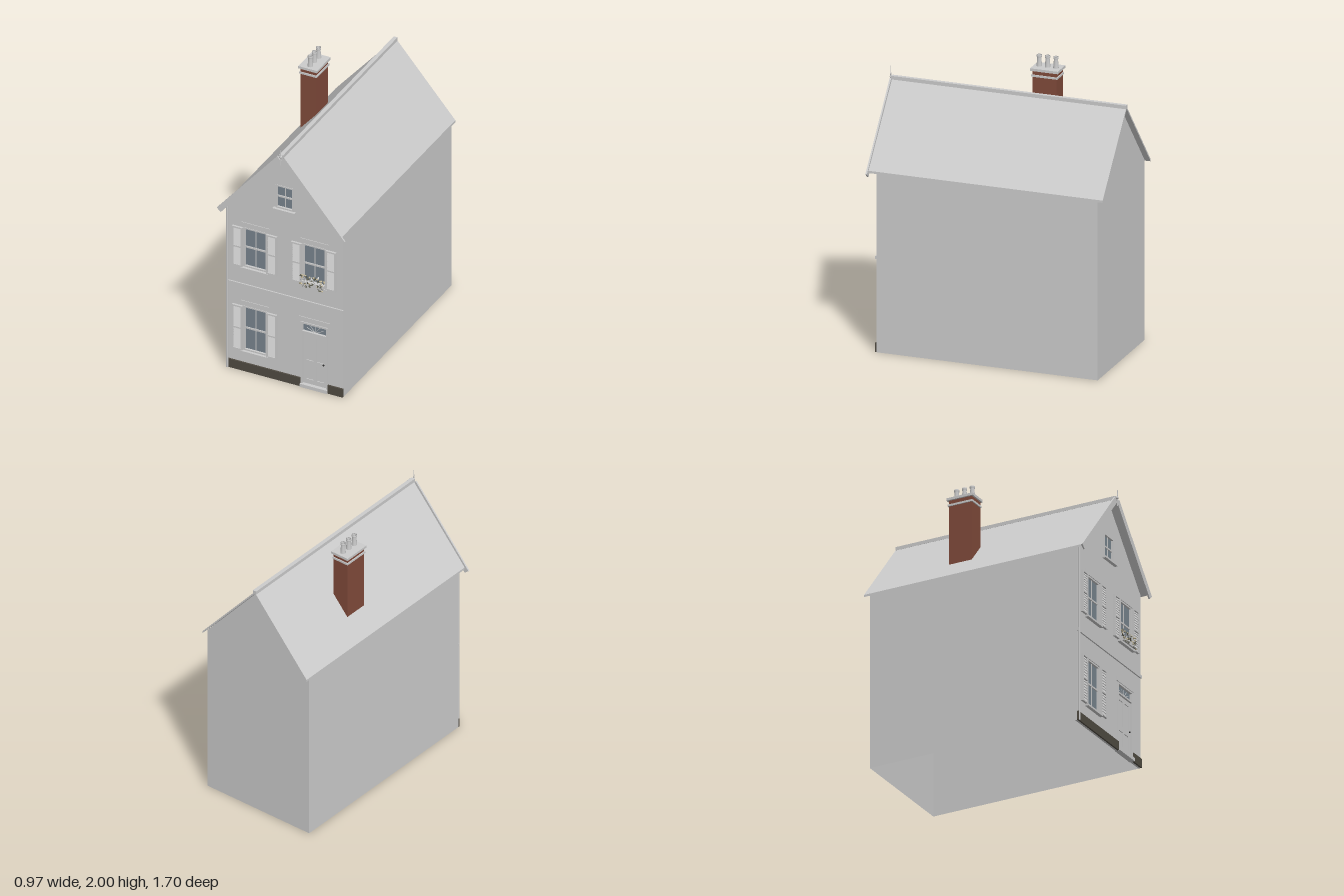
import * as THREE from 'three';

const mat = (color) => new THREE.MeshStandardMaterial({ color, side: THREE.DoubleSide });
const GREY = mat(0xcccccc), GLASS = mat(0x78848e), BRICK = mat(0x804a3a);
const PLINTH = mat(0x504b42), DARK = mat(0x2b2b2b), LEAF = mat(0x5a5a4c), PETAL = mat(0xc9bd9c);
const WALL = 0.78; // front face of the facade

function add(parent, name, geo, material = GREY) {
  const m = new THREE.Mesh(geo, material);
  m.name = name;
  parent.add(m);
  return m;
}
// Box given by its extents
function box(parent, name, x0, x1, y0, y1, z0, z1, material) {
  const m = add(parent, name, new THREE.BoxGeometry(x1 - x0, y1 - y0, z1 - z0), material);
  m.position.set((x0 + x1) / 2, (y0 + y1) / 2, (z0 + z1) / 2);
  return m;
}
const rect = ([x0, x1, y0, y1], Type = THREE.Shape) =>
  new Type([[x0, y0], [x1, y0], [x1, y1], [x0, y1]].map((p) => new THREE.Vector2(...p)));
const poly = (pts) => new THREE.Shape(pts.map((p) => new THREE.Vector2(...p)));
// Flat shape with rectangular openings, extruded from z0 to z1
function plate(parent, name, shape, holes, z0, z1, material) {
  holes.forEach((h) => shape.holes.push(rect(h, THREE.Path)));
  const geo = new THREE.ExtrudeGeometry(shape, { depth: z1 - z0, bevelEnabled: false });
  return add(parent, name, geo.translate(0, 0, z0), material);
}
function bar(parent, name, a, b, r, material) {
  const va = new THREE.Vector3(...a), vb = new THREE.Vector3(...b);
  const m = add(parent, name, new THREE.CylinderGeometry(r, r, va.distanceTo(vb), 6), material);
  m.position.copy(va).lerp(vb, 0.5);
  m.quaternion.setFromUnitVectors(new THREE.Vector3(0, 1, 0), vb.sub(va).normalize());
}

// Sash window: frame, 2 x 2 panes, glazing bars, sill and lintel
function sashWindow(parent, [x0, x1, y0, y1], lintel) {
  const g = new THREE.Group();
  g.name = 'window';
  parent.add(g);
  const f = 0.01, cx = (x0 + x1) / 2, cy = (y0 + y1) / 2;
  plate(g, 'windowFrame', rect([x0, x1, y0, y1]), [[x0 + f, x1 - f, y0 + f, y1 - f]], WALL - 0.022, WALL + 0.004);
  box(g, 'glass', x0 + f, x1 - f, y0 + f, y1 - f, WALL - 0.016, WALL - 0.012, GLASS);
  box(g, 'meetingRail', x0 + f, x1 - f, cy - 0.006, cy + 0.006, WALL - 0.02, WALL - 0.004);
  box(g, 'glazingBar', cx - 0.003, cx + 0.003, y0 + f, y1 - f, WALL - 0.02, WALL - 0.006);
  box(g, 'sill', x0 - 0.016, x1 + 0.016, y0 - 0.014, y0, WALL - 0.01, WALL + 0.024);
  if (lintel) box(g, 'lintel', x0 - 0.02, x1 + 0.02, y1 + 0.005, y1 + 0.04, WALL, WALL + 0.005);
}

// Louvred shutter
function shutter(parent, x0, x1, y0, y1) {
  const g = new THREE.Group();
  g.name = 'shutter';
  parent.add(g);
  const f = 0.011, n = 16, cy = (y0 + y1) / 2;
  const bays = [[y0 + f, cy - f / 2], [cy + f / 2, y1 - f]];
  plate(g, 'shutterFrame', rect([x0, x1, y0, y1]),
    bays.map(([a, b]) => [x0 + f, x1 - f, a, b]), WALL + 0.004, WALL + 0.02);
  for (const [a, b] of bays) {
    for (let i = 0; i < n / 2; i++) {
      const y = a + ((i + 0.5) * (b - a)) / (n / 2);
      const s = box(g, 'slat', x0 + f, x1 - f, y - 0.010, y + 0.010, WALL + 0.01, WALL + 0.013);
      s.rotation.x = -0.45;
    }
  }
}

function door(parent, [x0, x1, y0, y1]) {
  const g = new THREE.Group();
  g.name = 'door';
  parent.add(g);
  const f = 0.013, cx = (x0 + x1) / 2, fan = [x0 + f, x1 - f, 0.44, y1 - f];
  plate(g, 'doorFrame', rect([x0, x1, y0, y1]), [[x0 + f, x1 - f, 0.025, 0.428], fan], WALL - 0.02, WALL + 0.006);
  const panels = [];
  for (const [a, b] of [[x0 + 0.036, cx - 0.012], [cx + 0.012, x1 - 0.036]])
    for (const [c, d] of [[0.06, 0.17], [0.21, 0.395]]) panels.push([a, b, c, d]);
  plate(g, 'doorLeaf', rect([x0 + f, x1 - f, 0.025, 0.428]), panels, WALL - 0.018, WALL - 0.008);
  box(g, 'doorPanels', x0 + f, x1 - f, 0.025, 0.428, WALL - 0.02, WALL - 0.014);
  box(g, 'doorStep', x0, x1, 0, 0.025, WALL - 0.01, WALL + 0.02);
  box(g, 'doorLintel', x0 - 0.015, x1 + 0.015, y1 + 0.005, y1 + 0.04, WALL, WALL + 0.005);
  add(g, 'doorKnob', new THREE.SphereGeometry(0.006, 10, 8), DARK).position.set(0.29, 0.205, WALL);
  // Fanlight with radiating bars
  box(g, 'fanlightGlass', ...fan, WALL - 0.016, WALL - 0.012, GLASS);
  for (let i = 1; i < 6; i++) {
    const t = (Math.PI * i) / 6, z = WALL - 0.008;
    bar(g, 'fanlightBar', [cx, fan[2], z],
      [cx + Math.cos(t) * 0.07, fan[2] + Math.sin(t) * 0.052, z], 0.002);
  }
}

// Window box with leaves and blossoms
function flowerBox(parent) {
  const g = new THREE.Group();
  g.name = 'flowerBox';
  parent.add(g);
  box(g, 'planter', 0.14, 0.307, 0.822, 0.852, WALL + 0.004, WALL + 0.035);
  let seed = 7;
  const rnd = () => (seed = (seed * 16807) % 2147483647) / 2147483647;
  const leaf = new THREE.CircleGeometry(0.011, 5).scale(0.55, 1, 1);
  const blossom = new THREE.IcosahedronGeometry(0.007, 0);
  for (let i = 0; i < 80; i++) {
    const flower = i % 4 === 0;
    const m = add(g, flower ? 'blossom' : 'leaf', flower ? blossom : leaf, flower ? PETAL : i % 3 ? LEAF : GREY);
    const y = 0.815 + 0.085 * Math.pow(rnd(), 0.8);
    m.position.set(0.13 + 0.185 * rnd(), y, WALL + 0.012 + 0.032 * (y < 0.855 ? 0.85 + 0.2 * rnd() : rnd()));
    m.rotation.set(rnd() * 2 - 1, rnd() * 2 - 1, rnd() * 6);
  }
}

export function createModel() {
  const house = new THREE.Group();
  house.name = 'townHouse';
  const gable = () => poly([[-0.44, 0], [0.44, 0], [0.44, 1.28], [0, 1.79], [-0.44, 1.28]]);
  const doorway = [0.12, 0.325, 0, 0.51];
  const windows = [[-0.312, -0.136, 0.162, 0.51], [-0.312, -0.136, 0.822, 1.13], [0.134, 0.31, 0.822, 1.13]];
  const attic = [-0.07, 0.066, 1.358, 1.538];

  // Shell, open underneath
  const front = gable();
  plate(house, 'frontWall', front, [[0.12, 0.325, 0.0005, 0.51], ...windows, attic], WALL - 0.015, WALL);
  add(house, 'backWall', new THREE.ShapeGeometry(gable()).rotateY(Math.PI)).position.z = -0.81;
  for (const s of [-1, 1]) {
    const side = add(house, 'sideWall', new THREE.PlaneGeometry(0.81 + WALL, 1.28));
    side.rotation.y = (s * Math.PI) / 2;
    side.position.set(s * 0.44, 0.64, (WALL - 0.81) / 2);
  }

  // Facade openings and trim
  windows.forEach((w) => {
    sashWindow(house, w, true);
    shutter(house, w[0] - 0.081, w[0] - 0.003, w[2], w[3]);
    shutter(house, w[1] + 0.003, w[1] + 0.081, w[2], w[3]);
  });
  sashWindow(house, attic, false);
  door(house, doorway);
  flowerBox(house);
  box(house, 'stringCourse', -0.44, 0.44, 0.662, 0.685, WALL, WALL + 0.01);
  box(house, 'plinth', -0.44, 0.118, 0, 0.065, WALL, WALL + 0.012, PLINTH);
  box(house, 'plinth', 0.326, 0.44, 0, 0.065, WALL, WALL + 0.012, PLINTH);
  bar(house, 'drainpipe', [-0.43, 0, WALL + 0.012], [-0.43, 1.28, WALL + 0.012], 0.009);

  // Roof, ridge and front bargeboards
  plate(house, 'roof', poly([[0, 1.81], [-0.45, 1.288], [-0.45, 1.272], [0, 1.794], [0.45, 1.272], [0.45, 1.288]]),
    [], -0.85, 0.836);
  box(house, 'ridge', -0.014, 0.014, 1.795, 1.82, -0.85, 0.84);
  for (const s of [-1, 1])
    plate(house, 'bargeboard', poly([[0.026, 1.808], [0, 1.776], [0.452, 1.245], [0.483, 1.272]].map(([x, y]) => [s * x, y])),
      [], 0.834, 0.845);

  // Finial at the front apex
  bar(house, 'finial', [0, 1.745, 0.847], [0, 1.83, 0.847], 0.004);
  const spike = add(house, 'finialSpike', new THREE.ConeGeometry(0.004, 0.065, 8));
  spike.position.set(0, 1.86, 0.847);
  add(house, 'finialBall', new THREE.SphereGeometry(0.011, 10, 8)).position.set(0, 1.808, 0.843);

  // Chimney stack, cut to the roof slope, with bands and pots
  plate(house, 'chimneyStack', poly([[-0.328, 1.42], [-0.21, 1.556], [-0.21, 1.905], [-0.328, 1.905]]),
    [], -0.265, -0.09, BRICK);
  box(house, 'chimneyBand', -0.335, -0.203, 1.86, 1.874, -0.272, -0.083);
  box(house, 'chimneyCap', -0.34, -0.198, 1.902, 1.92, -0.278, -0.078);
  const pot = [[0.019, 0], [0.014, 0.062], [0.018, 0.066], [0.018, 0.08], [0.013, 0.08], [0.012, 0.03]]
    .map((p) => new THREE.Vector2(...p));
  for (const z of [-0.118, -0.178, -0.238]) {
    add(house, 'chimneyPot', new THREE.LatheGeometry(pot, 16)).position.set(-0.269, 1.92, z);
    const flue = add(house, 'flue', new THREE.CircleGeometry(0.013, 16).rotateX(-Math.PI / 2), DARK);
    flue.position.set(-0.269, 1.97, z);
  }
  return house;
}
